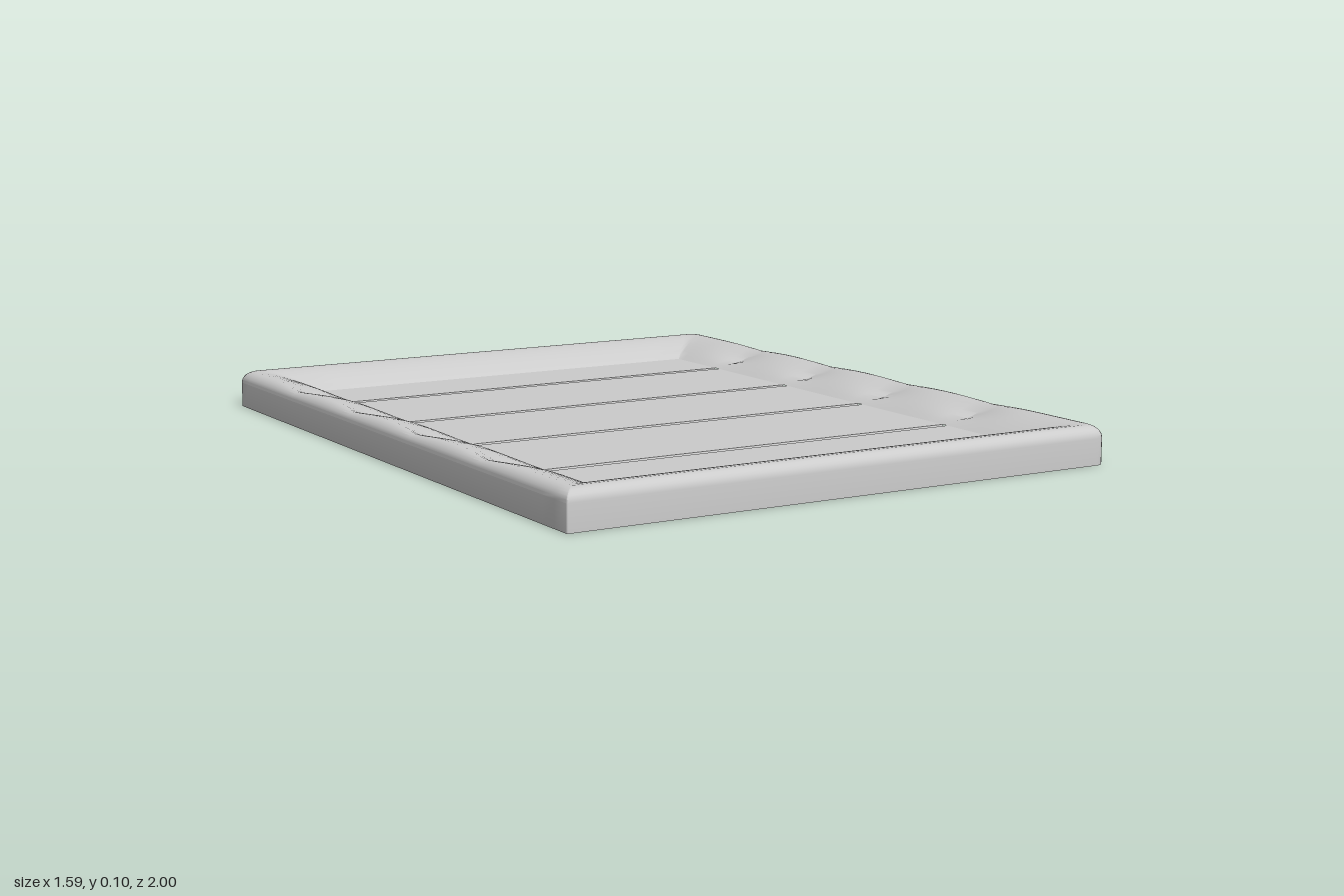
import * as THREE from 'three';
import { toCreasedNormals } from 'three/addons/utils/BufferGeometryUtils.js';

const W = 0.795, L = 1; // outer half sizes
const IN = { x0: -0.605, x1: 0.615, z0: -0.82, z1: 0.8 }; // recessed floor
const FLOOR = 0.05;
const seams = [-0.595, -0.218, 0.162, 0.552]; // z of the grooves
const material = new THREE.MeshStandardMaterial({ color: 0xcccccc });

// How deep the padded side sinks at z: zero mid-bay, one at each seam
function dip(z) {
  const stops = [-0.97, ...seams, 0.93];
  for (let i = 0; i < stops.length - 1; i++) {
    const a = stops[i], b = stops[i + 1];
    if (z < a - 1e-6 || z > b + 1e-6) continue;
    const u = (2 * (z - a)) / (b - a) - 1;
    if ((i === 0 && u < 0) || (i === stops.length - 2 && u > 0)) return 0;
    return u * u;
  }
  return 0;
}

// Perimeter stations, each pairing an outer point with an inner one
function stations() {
  const list = [];
  const add = (ox, oz, ix, iz, side) => list.push({ ox, oz, ix, iz, side });
  const split = (a, b, n) => Array.from({ length: n }, (_, i) => a + ((b - a) * i) / n);

  // A long side, back to front; bays between seams stay square to the side
  const longSide = (sx, ix, rBack, rFront) => {
    const outer = [-L + rBack, ...seams, L - rFront], inner = [IN.z0, ...seams, IN.z1];
    const rows = [];
    for (let i = 0; i < 5; i++) {
      const o = split(outer[i], outer[i + 1], 8), n = split(inner[i], inner[i + 1], 8);
      o.forEach((z, k) => rows.push([sx * W, z, ix, n[k], true]));
    }
    rows.push([sx * W, L - rFront, ix, IN.z1, true]);
    return rows;
  };
  const corner = (sx, sz, r, start, ix, iz) => {
    for (let i = 1; i < 5; i++) {
      const a = start + (i / 5) * (Math.PI / 2);
      add(sx * (W - r) + r * Math.cos(a), sz * (L - r) + r * Math.sin(a), ix, iz, false);
    }
  };
  const shortSide = (sz, iz, xa, xb, ia, ib) => {
    for (let i = 0; i <= 12; i++) {
      const t = i / 12;
      add(xa + (xb - xa) * t, sz * L, ia + (ib - ia) * t, iz, false);
    }
  };

  const r = 0.035, sharp = 0.004; // one corner is left nearly square
  longSide(1, IN.x1, r, r).forEach((p) => add(...p));
  corner(1, 1, r, 0, IN.x1, IN.z1);
  shortSide(1, IN.z1, W - r, -W + sharp, IN.x1, IN.x0);
  corner(-1, 1, sharp, Math.PI / 2, IN.x0, IN.z1);
  longSide(-1, IN.x0, r, sharp).reverse().forEach((p) => add(...p));
  corner(-1, -1, r, Math.PI, IN.x0, IN.z0);
  shortSide(-1, IN.z0, -W + r, W - r, IN.x0, IN.x1);
  corner(1, -1, r, 1.5 * Math.PI, IN.x1, IN.z0);
  return list;
}

// Padded border: underside, outer wall, rounded rim, convex slope to the floor
function borderGeometry() {
  const profile = [[1, 0], [0, 0], [0, 0.07]]; // [inset 0..1, height]
  for (let i = 1; i <= 6; i++) {
    const a = (i / 6) * (Math.PI / 2);
    profile.push([0.18 * (1 - Math.cos(a)), 0.07 + 0.032 * Math.sin(a)]);
  }
  for (let i = 1; i <= 8; i++) {
    const u = i / 8;
    profile.push([0.18 + 0.82 * u, 0.102 - (0.102 - FLOOR) * Math.pow(u, 1.6)]);
  }
  const ring = stations(), n = ring.length, pos = [], index = [];
  profile.forEach(([t, h], j) => {
    for (const s of ring) {
      const z = s.oz + (s.iz - s.oz) * t;
      const depth = s.side && j > 2 ? 0.006 * Math.min(1, t / 0.18) * (1 - t) + 0.022 * Math.sin(Math.PI * t) ** 2 : 0;
      pos.push(s.ox + (s.ix - s.ox) * t, h - depth * dip(z), z);
    }
  });
  for (let j = 0; j < profile.length - 1; j++) {
    for (let i = 0; i < n; i++) {
      const a = j * n + i, b = j * n + ((i + 1) % n);
      index.push(a, a + n, b, b, a + n, b + n);
    }
  }
  const g = new THREE.BufferGeometry();
  g.setAttribute('position', new THREE.Float32BufferAttribute(pos, 3));
  g.setIndex(index);
  return toCreasedNormals(g, 0.4);
}

// Flat floor with a narrow groove at each seam
function floorGeometry() {
  const s = new THREE.Shape();
  s.moveTo(-IN.z1, 0);
  s.lineTo(-IN.z0, 0);
  s.lineTo(-IN.z0, FLOOR);
  for (const z of seams) {
    s.lineTo(-z + 0.01, FLOOR);
    s.lineTo(-z + 0.006, FLOOR - 0.01);
    s.lineTo(-z - 0.006, FLOOR - 0.01);
    s.lineTo(-z - 0.01, FLOOR);
  }
  s.lineTo(-IN.z1, FLOOR);
  const g = new THREE.ExtrudeGeometry(s, { depth: IN.x1 - IN.x0, bevelEnabled: false });
  return g.rotateY(Math.PI / 2).translate(IN.x0, 0, 0);
}

export function createModel() {
  const model = new THREE.Group();
  model.name = 'paddedTray';
  const parts = { paddedBorder: borderGeometry(), groovedFloor: floorGeometry() };
  for (const [name, geometry] of Object.entries(parts)) {
    const mesh = new THREE.Mesh(geometry, material);
    mesh.name = name;
    model.add(mesh);
  }
  return model;
}
